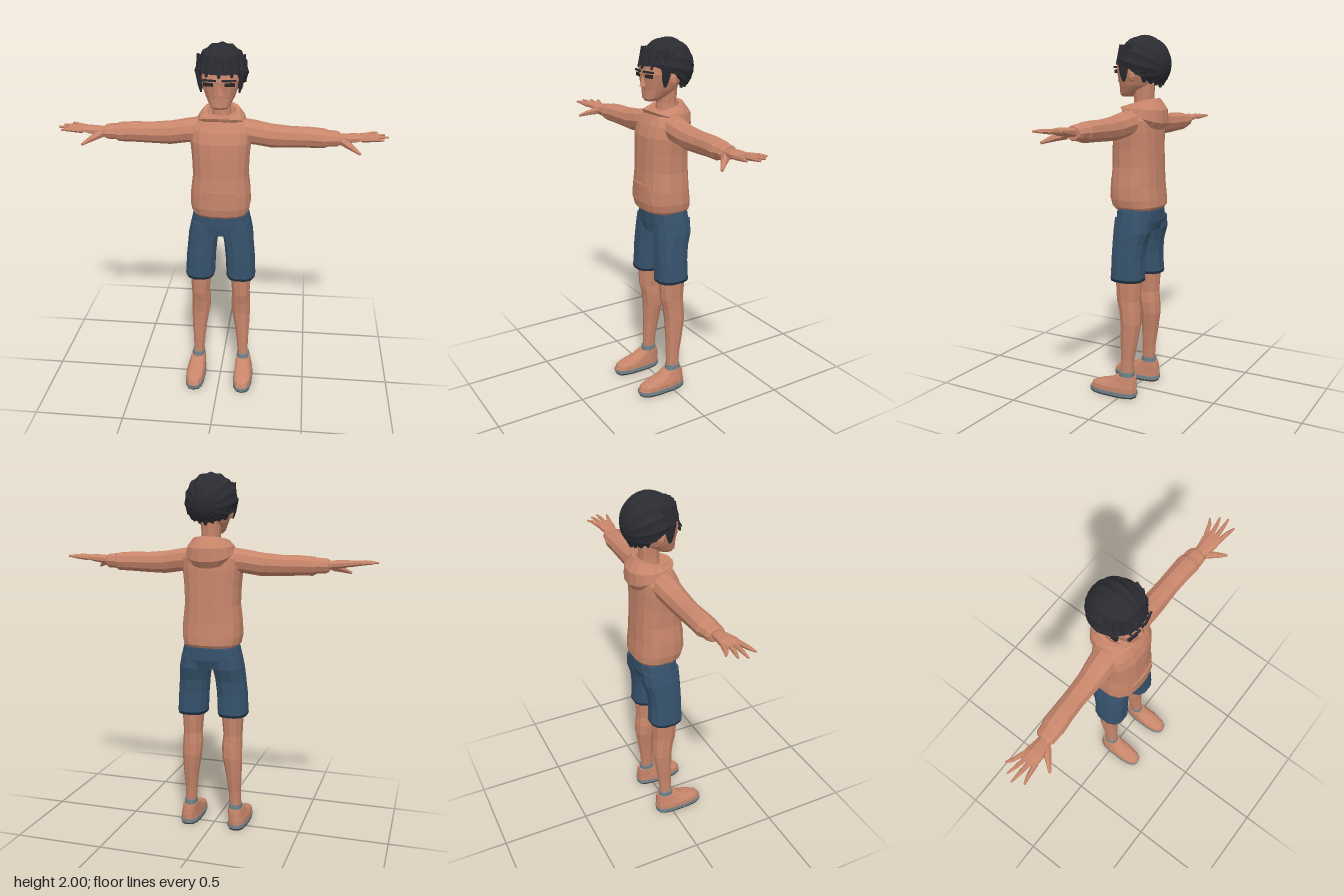
import * as THREE from 'three';

const mat = (name, color) => { const m = new THREE.MeshStandardMaterial({ color }); m.name = name; return m; };

// Faceted normals on any geometry
function flat(geo) {
  const g = geo.index ? geo.toNonIndexed() : geo;
  g.deleteAttribute('uv');
  g.computeVertexNormals();
  return g;
}

// Mirror across x, restoring the corner order
function mirror(geo) {
  const g = geo.clone().scale(-1, 1, 1), p = g.attributes.position;
  const a = new THREE.Vector3(), b = new THREE.Vector3();
  for (let i = 0; i < p.count; i += 3) {
    a.fromBufferAttribute(p, i + 1); b.fromBufferAttribute(p, i + 2);
    p.setXYZ(i + 1, b.x, b.y, b.z); p.setXYZ(i + 2, a.x, a.y, a.z);
  }
  g.computeVertexNormals();
  return g;
}

// Skin closed rings of points and cap both ends
function loft(rings) {
  const n = rings[0].length, last = rings.length - 1, pos = [], idx = [];
  rings.forEach(r => r.forEach(v => pos.push(...v)));
  for (let j = 0; j < last; j++) for (let i = 0; i < n; i++) {
    const a = j * n + i, b = j * n + (i + 1) % n;
    idx.push(a, a + n, b, b, a + n, b + n);
  }
  [0, last].forEach(j => {
    const c = pos.length / 3;
    pos.push(...[0, 1, 2].map(k => rings[j].reduce((s, v) => s + v[k], 0) / n));
    for (let i = 0; i < n; i++) {
      const a = j * n + i, b = j * n + (i + 1) % n;
      idx.push(c, j ? b : a, j ? a : b);
    }
  });
  const g = new THREE.BufferGeometry();
  g.setAttribute('position', new THREE.Float32BufferAttribute(pos, 3));
  g.setIndex(idx);
  return flat(g);
}

const soft = (v, p) => Math.sign(v) * Math.abs(v) ** (2 / p);
const around = (n, f) => Array.from({ length: n }, (_, i) => f((i + 0.5) / n * Math.PI * 2));

// Horizontal sections: [y, centre x, half width, front z, back z, rise at back]
const upright = (rows, n = 14, p = 2.5) => loft(rows.map(([y, cx, rx, zf, zb, tilt = 0]) =>
  around(n, t => [cx + rx * soft(Math.cos(t), p), y - tilt * Math.sin(t),
    (zf + zb) / 2 + (zf - zb) / 2 * soft(Math.sin(t), p)])));

// Sections along x: [x, bottom y, top y, back z, front z]
const sideways = (rows, n = 10) => loft(rows.map(([x, y0, y1, z0, z1]) =>
  around(n, t => [x, (y0 + y1) / 2 + (y1 - y0) / 2 * Math.cos(t), (z0 + z1) / 2 - (z1 - z0) / 2 * Math.sin(t)])));

// Tapered piece between two points
function taper(from, to, r0, r1, n = 6) {
  const a = new THREE.Vector3(...from), b = new THREE.Vector3(...to), d = b.clone().sub(a);
  const g = new THREE.CylinderGeometry(r1, r0, d.length(), n);
  g.applyQuaternion(new THREE.Quaternion().setFromUnitVectors(new THREE.Vector3(0, 1, 0), d.normalize()));
  g.translate(...a.add(b).multiplyScalar(0.5).toArray());
  return flat(g);
}

export function createModel() {
  const root = new THREE.Group();
  const skin = mat('skin', 0xc8866b), cloth = mat('hoodie', 0xc8866b);
  const denim = mat('shorts', 0x36526c), hemMat = mat('hem', 0x223345);
  const hairMat = mat('hair', 0x2b2c32), dark = mat('eyes', 0x2a2628);
  const sockMat = mat('sock', 0x728489), treadMat = mat('tread', 0x44494b);
  const add = (name, geo, m) => {
    const mesh = new THREE.Mesh(geo, m);
    mesh.name = name;
    root.add(mesh);
  };
  const pair = (name, geo, m) => {
    add(name + 'Left', geo, m);
    add(name + 'Right', mirror(geo), m);
  };

  // Hoodie body with gathered waistband
  add('hoodieBody', upright([
    [1.07, 0, 0.148, 0.085, -0.16], [1.085, 0, 0.158, 0.1, -0.17], [1.125, 0, 0.166, 0.108, -0.168],
    [1.2, 0, 0.164, 0.107, -0.16], [1.3, 0, 0.152, 0.1, -0.157], [1.4, 0, 0.156, 0.097, -0.153],
    [1.49, 0, 0.165, 0.092, -0.15], [1.55, 0, 0.162, 0.072, -0.145], [1.59, 0, 0.135, 0.05, -0.135],
    [1.625, 0, 0.085, 0.03, -0.12]], 16, 2.6), cloth);

  // Front pocket bent round the belly
  const pocket = new THREE.BoxGeometry(0.22, 0.1, 0.016, 6, 1, 1), pp = pocket.attributes.position;
  for (let i = 0; i < pp.count; i++) {
    const x = pp.getX(i) * (pp.getY(i) > 0 ? 0.75 : 1);
    pp.setX(i, x);
    pp.setZ(i, pp.getZ(i) - 1.7 * x * x);
  }
  add('frontPocket', flat(pocket.translate(0, 1.18, 0.105)), cloth);

  // Folded hood: hangs low at the back, open at the neck
  add('hood', upright([
    [1.555, 0, 0.115, 0.055, -0.165, -0.055], [1.58, 0, 0.135, 0.062, -0.188, -0.045],
    [1.615, 0, 0.125, 0.052, -0.186, -0.01], [1.645, 0, 0.1, 0.036, -0.145, 0.023],
    [1.642, 0, 0.078, 0.022, -0.125, 0.02], [1.615, 0, 0.06, 0.012, -0.115, 0.01]], 16, 2.2), cloth);

  // Sleeves and cuffs
  pair('sleeve', sideways([
    [0.09, 1.47, 1.61, -0.11, 0.035], [0.18, 1.468, 1.598, -0.1, 0.038], [0.27, 1.455, 1.582, -0.088, 0.035],
    [0.38, 1.458, 1.572, -0.082, 0.03], [0.47, 1.462, 1.572, -0.08, 0.034], [0.55, 1.464, 1.566, -0.08, 0.042],
    [0.575, 1.478, 1.556, -0.07, 0.036]]), cloth);
  pair('cuff', sideways([
    [0.57, 1.475, 1.56, -0.072, 0.04], [0.615, 1.477, 1.557, -0.066, 0.038], [0.63, 1.485, 1.55, -0.055, 0.03]]), cloth);

  // Hands, palms down
  pair('palm', sideways([
    [0.61, 1.497, 1.542, -0.04, 0.02], [0.66, 1.5, 1.548, -0.043, 0.035],
    [0.71, 1.508, 1.55, -0.052, 0.048], [0.765, 1.522, 1.546, -0.052, 0.046]], 8), skin);
  [[-0.042, 0.825, -0.08], [-0.016, 0.862, -0.04], [0.01, 0.88, 0.002], [0.034, 0.852, 0.058]].forEach(([z0, x, z], i) => {
    const mid = [(0.745 + x) / 2 + 0.01, 1.537, (z0 + z) / 2];
    pair('finger' + i, taper([0.74, 1.53, z0], mid, 0.014, 0.011), skin);
    pair('fingertip' + i, taper(mid, [x, 1.538, z], 0.011, 0.005), skin);
  });
  pair('thumbBase', taper([0.645, 1.512, 0.015], [0.695, 1.492, 0.068], 0.024, 0.015), skin);
  pair('thumbTip', taper([0.695, 1.492, 0.068], [0.732, 1.474, 0.103], 0.015, 0.007), skin);

  // Shorts
  add('shortsSeat', upright([
    [0.95, 0, 0.165, 0.062, -0.14], [1.0, 0, 0.172, 0.07, -0.157],
    [1.06, 0, 0.158, 0.072, -0.157], [1.1, 0, 0.145, 0.07, -0.15]]), denim);
  pair('shortsLeg', upright([
    [0.688, 0.117, 0.083, 0.072, -0.118], [0.8, 0.112, 0.083, 0.07, -0.115], [0.88, 0.104, 0.083, 0.068, -0.125],
    [0.95, 0.095, 0.086, 0.066, -0.148], [1.02, 0.087, 0.08, 0.062, -0.15]], 12), denim);
  pair('shortsHem', upright([
    [0.674, 0.117, 0.08, 0.068, -0.115], [0.69, 0.117, 0.085, 0.074, -0.12]], 12), hemMat);

  // Bare legs
  pair('leg', upright([
    [0.13, 0.134, 0.03, 0.012, -0.062], [0.22, 0.13, 0.034, 0.012, -0.068], [0.32, 0.127, 0.043, 0.012, -0.085],
    [0.43, 0.119, 0.055, 0.014, -0.102], [0.5, 0.116, 0.056, 0.024, -0.1], [0.56, 0.118, 0.052, 0.04, -0.095],
    [0.62, 0.117, 0.056, 0.044, -0.1], [0.7, 0.115, 0.061, 0.046, -0.105]], 10, 2.2), skin);

  // Socks and shoes
  pair('sock', upright([[0.09, 0.136, 0.036, 0.022, -0.07], [0.145, 0.135, 0.036, 0.018, -0.068]], 10), sockMat);
  pair('tread', upright([[0, 0.142, 0.054, 0.198, -0.085], [0.01, 0.142, 0.057, 0.204, -0.09]], 14, 2.8), treadMat);
  pair('sole', upright([[0.01, 0.142, 0.057, 0.204, -0.09], [0.03, 0.142, 0.057, 0.205, -0.09]], 14, 2.8), sockMat);
  pair('shoe', upright([
    [0.03, 0.142, 0.055, 0.203, -0.088], [0.055, 0.142, 0.054, 0.192, -0.088], [0.072, 0.14, 0.05, 0.15, -0.086],
    [0.09, 0.138, 0.046, 0.085, -0.084], [0.118, 0.136, 0.042, 0.035, -0.078]], 14, 2.6), skin);

  // Neck and head
  add('neck', upright([[1.59, 0, 0.056, 0, -0.12], [1.66, 0, 0.05, -0.005, -0.115], [1.75, 0, 0.055, 0, -0.12]], 10, 2.2), skin);
  add('head', upright([
    [1.675, 0, 0.036, 0.066, 0.0], [1.695, 0, 0.056, 0.076, -0.05, 0.008], [1.735, 0, 0.078, 0.076, -0.105],
    [1.78, 0, 0.094, 0.082, -0.13], [1.82, 0, 0.104, 0.088, -0.14], [1.865, 0, 0.104, 0.08, -0.14],
    [1.92, 0, 0.08, 0.045, -0.12], [1.955, 0, 0.04, 0, -0.08]], 16, 2.6), skin);
  const nose = new THREE.ConeGeometry(0.024, 0.07, 4);
  add('nose', flat(nose.translate(0, 1.79, 0.081)), skin);
  pair('ear', flat(new THREE.SphereGeometry(1, 7, 5).scale(0.014, 0.034, 0.022).translate(0.104, 1.79, -0.04)), skin);

  // Brows and eyes
  const plate = (w, h, x, y, z) => flat(new THREE.BoxGeometry(w, h, 0.009).rotateY(0.2).translate(x, y, z));
  pair('brow', plate(0.076, 0.01, 0.052, 1.831, 0.082), hairMat);
  pair('eye', plate(0.052, 0.018, 0.055, 1.81, 0.079), dark);

  // Hair: ridged strands from fringe to nape, cut along a sloping hairline
  const cap = new THREE.SphereGeometry(1, 32, 14).rotateX(Math.PI / 2), cp = cap.attributes.position;
  for (let i = 0; i < cp.count; i++) {
    const k = Math.round(Math.atan2(cp.getY(i), cp.getX(i)) / (Math.PI / 16));
    const r = k % 2 ? 0.95 : 1;
    cp.setXY(i, cp.getX(i) * r, cp.getY(i) * r);
  }
  cap.rotateX(-0.25).scale(0.143, 0.152, 0.148).translate(0, 1.848, -0.06);
  for (let i = 0; i < cp.count; i++) {
    const z = cp.getZ(i);
    const line = z > 0.04 ? 1.86 : z > -0.02 ? 1.835 : Math.max(1.74, 1.835 + (z + 0.02) * 0.75);
    cp.setY(i, Math.max(cp.getY(i), line));
  }
  add('hairCap', flat(cap), hairMat);
  for (let i = 0; i < 11; i++) {
    const a = (i - 5) * 0.27, s = Math.sin(a), c = Math.cos(a), drop = i % 2 ? 0.018 : 0;
    add('fringeLock' + i, taper([0.098 * s, 1.935, -0.045 + 0.09 * c],
      [0.128 * s, 1.862 - drop, -0.045 + 0.137 * c], 0.034, 0.006, 5), hairMat);
  }
  for (let i = 0; i < 7; i++) {
    const a = (i - 3) * 0.36, s = Math.sin(a), c = Math.cos(a);
    add('napeLock' + i, taper([0.11 * s, 1.81, -0.06 - 0.11 * c],
      [0.1 * s, 1.725 + 0.03 * Math.abs(s), -0.06 - 0.095 * c], 0.032, 0.008, 5), hairMat);
  }
  pair('sideburn', upright([
    [1.755, 0.1, 0.005, 0.018, 0.002], [1.79, 0.104, 0.012, 0.03, -0.012], [1.86, 0.112, 0.018, 0.04, -0.03]], 6), hairMat);

  return root;
}
